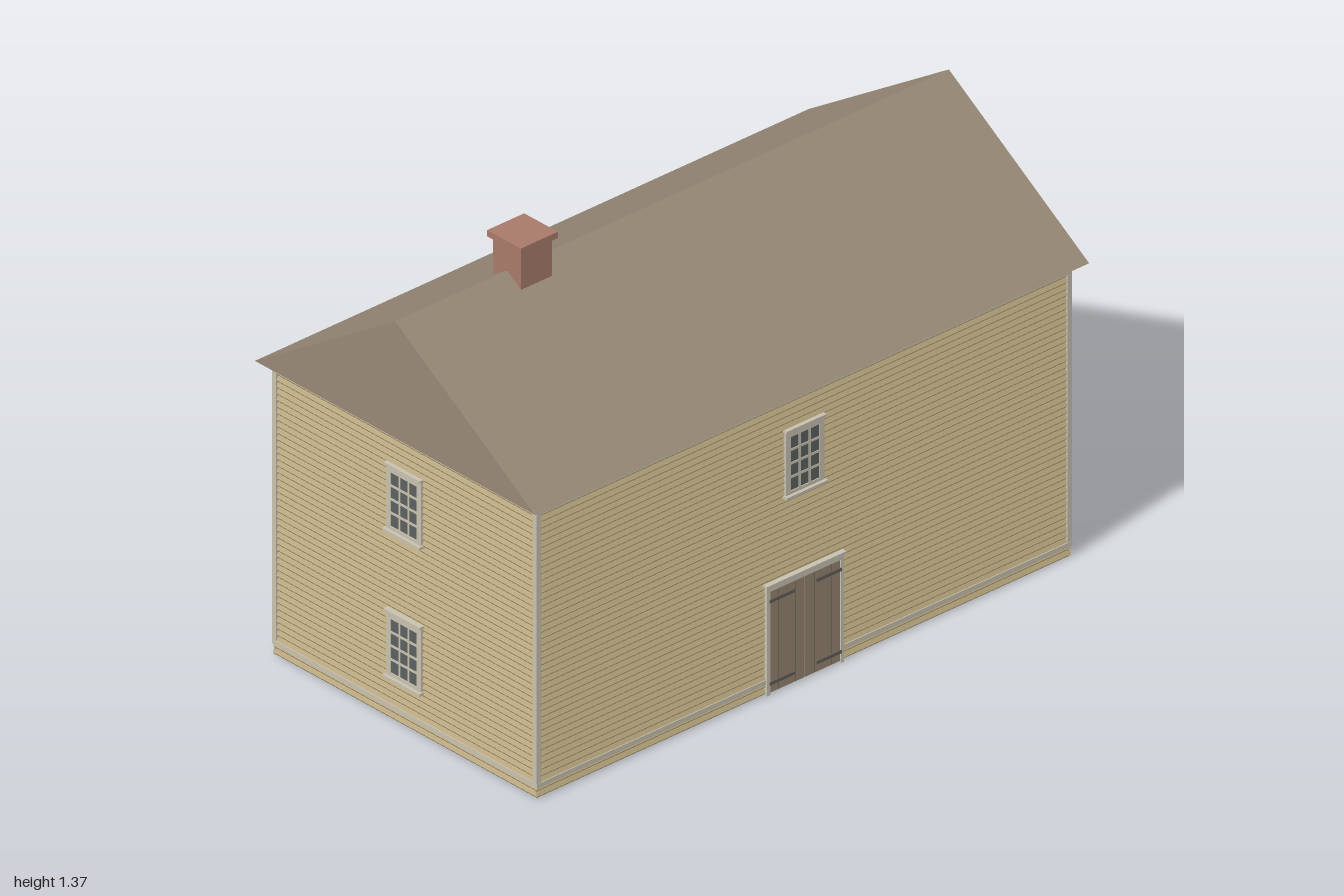
import * as THREE from 'three';

const mat = (name, color, side = THREE.FrontSide) => {
  const m = new THREE.MeshStandardMaterial({ color, side });
  m.name = name;
  return m;
};

const HX = 0.517, HZ = 0.958, WALL_H = 0.905; // wall plane half sizes and height

export function createModel() {
  const model = new THREE.Group();
  model.name = 'clapboardHouse';
  const M = {
    siding: mat('siding tan', 0xbdab82, THREE.DoubleSide),
    trim: mat('trim cream', 0xc8c1b0),
    roof: mat('roof brown', 0x978875),
    brick: mat('chimney red', 0xa87a69),
    glass: mat('window glass', 0x5b605e),
    plank: mat('plank door brown', 0x958371),
    iron: mat('hinge iron', 0x625d57),
    red: mat('shop door red', 0x9e6352),
  };

  // Box given by its x, y and z limits
  const box = (parent, name, m, x0, x1, y0, y1, z0, z1) => {
    const mesh = new THREE.Mesh(new THREE.BoxGeometry(x1 - x0, y1 - y0, z1 - z0), m);
    mesh.position.set((x0 + x1) / 2, (y0 + y1) / 2, (z0 + z1) / 2);
    mesh.name = name;
    parent.add(mesh);
    return mesh;
  };

  // Lapped boards: a zigzag profile swept across the wall
  const clapboards = (half) => {
    const n = 45, pitch = WALL_H / n, prof = [], pos = [];
    for (let i = 0; i < n; i++) {
      prof.push([i * pitch, 0.001], [i * pitch + pitch * 0.36, 0.007]);
    }
    prof.push([WALL_H, 0.001]);
    for (let i = 0; i < prof.length - 1; i++) {
      const [y0, d0] = prof[i], [y1, d1] = prof[i + 1];
      pos.push(-half, y0, d0, half, y0, d0, half, y1, d1,
        -half, y0, d0, half, y1, d1, -half, y1, d1);
    }
    const g = new THREE.BufferGeometry();
    g.setAttribute('position', new THREE.Float32BufferAttribute(pos, 3));
    g.computeVertexNormals();
    return g;
  };

  // One side of the house; local z points outward from the wall plane
  const makeSide = (name, half, dist, angle) => {
    const side = new THREE.Group();
    side.name = name;
    side.rotation.y = angle;
    side.position.set(Math.sin(angle) * dist, 0, Math.cos(angle) * dist);
    model.add(side);
    const inner = new THREE.Mesh(new THREE.PlaneGeometry(half * 2, WALL_H), M.siding);
    inner.position.y = WALL_H / 2;
    inner.name = 'innerWall';
    const boards = new THREE.Mesh(clapboards(half + 0.006), M.siding);
    boards.name = 'clapboards';
    side.add(inner, boards);
    const e = half + 0.0085;
    box(side, 'frieze', M.trim, -e, e, 0.875, WALL_H, 0, 0.0085);
    box(side, 'baseBand', M.trim, -e, e, 0.034, 0.048, 0, 0.0095);
    for (const s of [-1, 1]) {
      const a = s * e, b = s * (e - 0.016);
      box(side, 'cornerBoard', M.trim, Math.min(a, b), Math.max(a, b), 0.034, 0.876, 0, 0.0085);
    }
    return side;
  };

  // Glass plate with glazing bars
  const glazing = (parent, x0, x1, y0, y1, cols, rows, z, bar) => {
    box(parent, 'glass', M.glass, x0, x1, y0, y1, z - 0.002, z);
    for (let i = 1; i < cols; i++) {
      const x = x0 + (x1 - x0) * i / cols;
      box(parent, 'verticalBar', M.trim, x - bar / 2, x + bar / 2, y0, y1, z - 0.001, z + 0.002);
    }
    for (let j = 1; j < rows; j++) {
      const y = y0 + (y1 - y0) * j / rows;
      box(parent, 'horizontalBar', M.trim, x0, x1, y - bar / 2, y + bar / 2, z - 0.001, z + 0.002);
    }
  };

  // Rectangular frame with an opening
  const frame = (parent, name, m, o, h, z0, z1) => {
    const rect = (C, [x0, x1, y0, y1]) => new C([[x0, y0], [x1, y0], [x1, y1], [x0, y1]]
      .map((p) => new THREE.Vector2(...p)));
    const shape = rect(THREE.Shape, o);
    shape.holes.push(rect(THREE.Path, h));
    const mesh = new THREE.Mesh(new THREE.ExtrudeGeometry(shape, { depth: z1 - z0, bevelEnabled: false }), m);
    mesh.position.z = z0;
    mesh.name = name;
    parent.add(mesh);
  };

  // Sash window of 3 by 4 panes
  const sashWindow = (side, x, y) => {
    const g = new THREE.Group();
    g.name = 'sashWindow';
    g.position.set(x, y, 0);
    side.add(g);
    frame(g, 'casing', M.trim, [-0.069, 0.069, 0, 0.207], [-0.052, 0.052, 0.016, 0.182], 0, 0.012);
    glazing(g, -0.053, 0.053, 0.015, 0.183, 3, 4, 0.009, 0.007);
    box(g, 'headCap', M.trim, -0.072, 0.072, 0.202, 0.209, 0, 0.019);
    box(g, 'sill', M.trim, -0.074, 0.074, -0.002, 0.006, 0, 0.022);
  };

  const front = makeSide('frontWall', HX, HZ, 0);
  const back = makeSide('backWall', HX, HZ, Math.PI);
  const left = makeSide('leftWall', HZ, HX, Math.PI / 2);
  const right = makeSide('rightWall', HZ, HX, -Math.PI / 2);
  const LOW = 0.131, HIGH = 0.583;
  for (const side of [front, right]) {
    sashWindow(side, 0, LOW);
    sashWindow(side, 0, HIGH);
  }
  sashWindow(left, 0, HIGH);
  for (const x of [-0.38, 0.01, 0.355]) sashWindow(back, x, HIGH);

  // Double plank door with strap hinges
  const door = new THREE.Group();
  door.name = 'plankDoor';
  left.add(door);
  for (const s of [-1, 1]) {
    const span = (name, m, a, b, y0, y1, z0, z1) =>
      box(door, name, m, Math.min(s * a, s * b), Math.max(s * a, s * b), y0, y1, z0, z1);
    span('jamb', M.trim, 0.127, 0.139, 0, 0.325, 0, 0.014);
    span('doorLeaf', M.plank, 0.001, 0.127, 0.005, 0.318, 0, 0.011);
    for (const x of [0.035, 0.095]) span('plankGap', M.iron, x - 0.001, x + 0.001, 0.006, 0.317, 0.01, 0.0114);
    for (const y of [0.034, 0.288]) span('strapHinge', M.iron, 0.04, 0.13, y - 0.005, y + 0.005, 0.01, 0.0145);
  }
  box(door, 'leafGap', M.iron, -0.001, 0.001, 0.005, 0.318, 0, 0.009);
  box(door, 'lintel', M.trim, -0.139, 0.139, 0.318, 0.334, 0, 0.014);
  box(door, 'doorCap', M.trim, -0.144, 0.144, 0.333, 0.34, 0, 0.018);

  // Shop front: backing, cornice, door and display window
  const shop = new THREE.Group();
  shop.name = 'shopFront';
  back.add(shop);
  box(shop, 'backing', M.trim, -0.195, 0.225, 0, 0.42, 0, 0.009);
  box(shop, 'cornice', M.trim, -0.2, 0.23, 0.41, 0.445, 0, 0.016);
  box(shop, 'corniceCap', M.trim, -0.207, 0.237, 0.445, 0.455, 0, 0.021);
  for (const x of [-0.19, 0.21]) {
    box(shop, 'pilaster', M.trim, x - 0.014, x + 0.014, 0, 0.405, 0, 0.0115);
    box(shop, 'bracket', M.trim, x - 0.018, x + 0.024, 0.4, 0.46, 0, 0.022);
  }
  box(shop, 'shopDoor', M.red, -0.172, -0.043, 0.005, 0.275, 0, 0.0105);
  frame(shop, 'doorRails', M.red, [-0.172, -0.043, 0.005, 0.275], [-0.15, -0.065, 0.025, 0.13], 0.0105, 0.012);
  glazing(shop, -0.15, -0.065, 0.155, 0.255, 3, 2, 0.0128, 0.005);
  glazing(shop, -0.168, -0.047, 0.285, 0.313, 5, 1, 0.0105, 0.007);
  box(shop, 'doorMullion', M.trim, -0.041, -0.023, 0, 0.4, 0, 0.012);
  glazing(shop, -0.02, 0.185, 0.14, 0.385, 6, 6, 0.0105, 0.007);
  box(shop, 'displaySill', M.trim, -0.024, 0.195, 0.127, 0.137, 0, 0.015);

  // Gabled roof as a solid prism
  const gable = new THREE.Shape([[-0.557, 0], [0.557, 0], [0, 0.36]].map((p) => new THREE.Vector2(...p)));
  const roof = new THREE.Mesh(new THREE.ExtrudeGeometry(gable, { depth: 2, bevelEnabled: false }), M.roof);
  roof.position.set(0, WALL_H, -1);
  roof.name = 'roof';
  model.add(roof);

  // Chimney astride the ridge
  box(model, 'chimneyStack', M.brick, -0.056, 0.056, 1.2, 1.348, 0.484, 0.596);
  box(model, 'chimneyCap', M.brick, -0.067, 0.067, 1.346, 1.365, 0.473, 0.607);
  return model;
}
